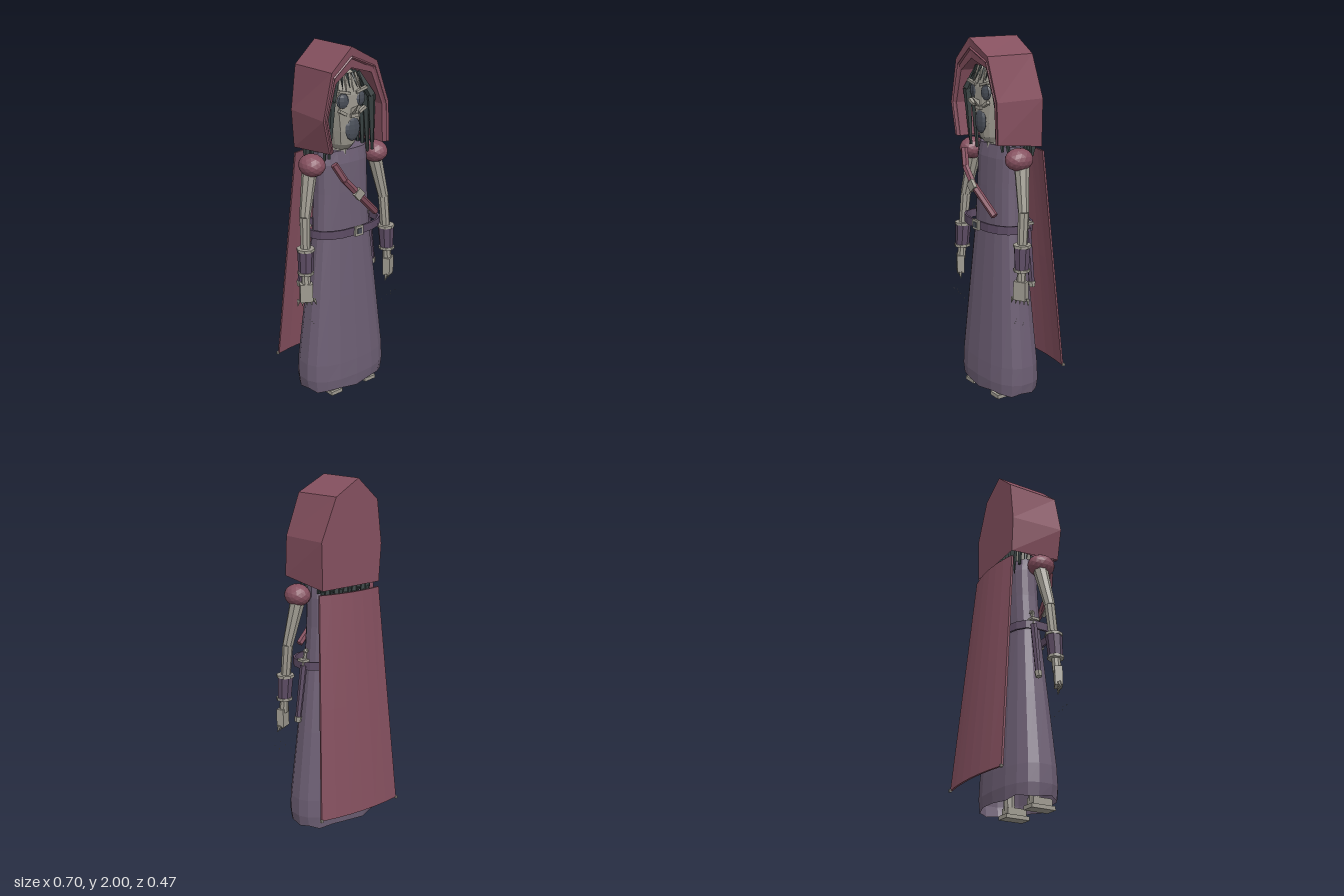
import * as THREE from 'three';

const mat = (name, color) => {
  const m = new THREE.MeshStandardMaterial({ color, flatShading: true, side: THREE.DoubleSide });
  m.name = name;
  return m;
};
const V = (x, y, z) => new THREE.Vector3(x, y, z);

export function createModel() {
  const cloth = mat('maroon cloth', 0x85505f);
  const robe = mat('purple robe', 0x6c5e73);
  const leather = mat('purple leather', 0x5d4c64);
  const bone = mat('bone grey', 0x9f9b91);
  const hair = mat('dark hair', 0x3b4444);
  const hollow = mat('dark hollow', 0x4a4f59);

  const model = new THREE.Group();
  model.name = 'hoodedFigure';

  const add = (name, geo, material, pos = [0, 0, 0], scale = [1, 1, 1], rot = [0, 0, 0], parent = model) => {
    const m = new THREE.Mesh(geo, material);
    m.name = name;
    m.position.set(...pos);
    m.scale.set(...scale);
    m.rotation.set(...rot);
    parent.add(m);
    return m;
  };

  // Tapered rod from a to b
  const rod = (name, a, b, ra, rb, material, sides = 8, parent = model, flat = 1) => {
    const dir = b.clone().sub(a);
    const m = add(name, new THREE.CylinderGeometry(rb, ra, dir.length(), sides), material, [0, 0, 0], [1, 1, flat], [0, 0, 0], parent);
    m.position.copy(a).add(b).multiplyScalar(0.5);
    m.quaternion.setFromUnitVectors(V(0, 1, 0), dir.normalize());
    return m;
  };

  // Skin over a list of rings, with optional fans closing chosen rings
  const loft = (rings, closed, caps = []) => {
    const p = [];
    const tri = (...vs) => vs.forEach(v => p.push(v.x, v.y, v.z));
    for (let r = 0; r < rings.length - 1; r++) {
      const a = rings[r], b = rings[r + 1], n = a.length;
      for (let i = 0; i < (closed ? n : n - 1); i++) {
        const j = (i + 1) % n;
        tri(a[i], b[i], b[j]);
        tri(a[i], b[j], a[j]);
      }
    }
    caps.forEach(k => {
      const c = rings[k];
      for (let i = 1; i < c.length - 1; i++) tri(c[0], c[i], c[i + 1]);
    });
    const g = new THREE.BufferGeometry();
    g.setAttribute('position', new THREE.Float32BufferAttribute(p, 3));
    g.computeVertexNormals();
    return g;
  };

  // Rounded-rectangle ring around the body
  const ring = (y, rx, rz, cz, n = 18, wave = 0) => Array.from({ length: n }, (_, i) => {
    const t = -(i + 0.5) / n * Math.PI * 2, c = Math.cos(t), s = Math.sin(t);
    const q = v => Math.sign(v) * Math.pow(Math.abs(v), 0.8);
    return V(rx * q(c), y + wave * Math.sin(i * 2.3), cz + rz * q(s));
  });

  // Robe
  add('robeSkirt', loft([
    ring(0.035, 0.265, 0.15, 0.045, 18, 0.01), ring(0.1, 0.275, 0.155, 0.045), ring(0.2, 0.272, 0.15, 0.045),
    ring(0.6, 0.225, 0.12, 0.045), ring(0.98, 0.18, 0.09, 0.045)], true), robe);
  add('robeBodice', loft([
    ring(0.98, 0.18, 0.09, 0.045), ring(1.2, 0.168, 0.088, 0.04),
    ring(1.36, 0.168, 0.085, 0.035), ring(1.43, 0.165, 0.07, 0.035)], true, [3]), robe);

  // Belt standing off the waist, with its buckle
  const b = [[0.968, 0], [1.014, 0], [1.014, 0.012], [0.968, 0.012], [0.968, 0]];
  add('belt', loft(b.map(([y, d]) => ring(y, 0.235 - d, 0.143 - d, 0.055)), true), leather);
  add('beltBuckle', new THREE.BoxGeometry(0.055, 0.055, 0.014), bone, [0, 0.992, 0.202]);
  add('beltBuckleCentre', new THREE.BoxGeometry(0.03, 0.03, 0.006), hollow, [0, 0.992, 0.21]);

  // Chest strap and clasp
  const strap = [V(-0.15, 1.39, 0.175), V(-0.1, 1.3, 0.2), V(-0.015, 1.21, 0.205), V(0.14, 1.065, 0.175)];
  for (let i = 0; i < 3; i++) rod('chestStrap', strap[i], strap[i + 1], 0.02, 0.02, cloth, 6);
  add('strapClasp', new THREE.BoxGeometry(0.052, 0.052, 0.02), bone, [-0.015, 1.21, 0.217], [1, 1, 1], [0, 0, 0.75]);

  // Hood: outer shell, rim, inner shell and closed back
  const arch = (pts, z) => pts.map(([x, y]) => V(x, y, z));
  const outer = [[-0.2, 1.46], [-0.24, 1.64], [-0.185, 1.88], [-0.055, 2], [0.115, 1.91], [0.2, 1.68], [0.21, 1.46]];
  const inner = [[-0.165, 1.46], [-0.2, 1.64], [-0.15, 1.82], [-0.05, 1.89], [0.085, 1.85], [0.162, 1.67], [0.17, 1.46]];
  const back = [[-0.2, 1.43], [-0.215, 1.64], [-0.185, 1.88], [-0.055, 2], [0.09, 1.91], [0.185, 1.68], [0.18, 1.42]];
  add('hood', loft([arch(back, -0.11), arch(outer, 0.2), arch(inner, 0.19), arch(inner, -0.095)], false, [0, 3]), cloth);

  // Raised hood edging
  for (let i = 0; i < 6; i++) {
    const mid = k => V((outer[k][0] + inner[k][0]) / 2, (outer[k][1] + inner[k][1]) / 2, 0.19);
    rod('hoodEdging', mid(i), mid(i + 1), 0.012, 0.012, cloth, 4);
  }

  // Cape: curved sheet with some thickness
  const sheet = off => [0, 0.5, 1].map(t => Array.from({ length: 7 }, (_, i) => {
    const u = i / 3 - 1;
    return V(u * (0.2 + 0.067 * t), 1.4 - 1.25 * t, -0.137 - 0.103 * t + 0.027 * u * u + off);
  }));
  const outside = sheet(0), inside = sheet(0.012);
  add('capeOutside', loft(outside, false), cloth);
  add('capeInside', loft(inside, false), cloth);
  add('capeTopEdge', loft([outside[0], inside[0]], false), cloth);
  add('capeHem', loft([outside[2], inside[2]], false), cloth);
  [0, 6].forEach(k => {
    add('capeSideEdge', loft([outside.map(r => r[k]), inside.map(r => r[k])], false), cloth);
    const c = outside[2][k];
    add('capeStud', new THREE.BoxGeometry(0.014, 0.014, 0.014), bone, [c.x, c.y, c.z]);
  });

  // Head: long gaunt face narrowing to the jaw
  const head = new THREE.Group();
  head.name = 'head';
  head.position.set(-0.02, 0, 0.07);
  model.add(head);
  const skull = [[1.44, 0.045, 0.05], [1.47, 0.062, 0.075], [1.55, 0.078, 0.092], [1.65, 0.098, 0.1],
    [1.74, 0.106, 0.1], [1.82, 0.088, 0.085], [1.86, 0.045, 0.045]];
  add('face', loft(skull.map(([y, rx, rz]) => ring(y, rx, rz, 0, 12)), true, [0, 6]), bone, [0, 0, 0], [1, 1, 1], [0, 0, 0], head);
  rod('neck', V(0, 1.4, -0.01), V(0, 1.5, -0.01), 0.05, 0.045, bone, 8, head);
  add('nose', new THREE.ConeGeometry(0.022, 0.08, 4), bone, [0, 1.672, 0.115], [1, 1, 1], [0.85, Math.PI / 4, 0], head);
  for (const s of [-1, 1]) {
    add('eyeSocket', new THREE.SphereGeometry(0.037, 8, 6), hollow, [s * 0.06, 1.715, 0.088], [1, 1.1, 0.4], [0, s * 0.25, 0], head);
    add('brow', new THREE.BoxGeometry(0.075, 0.014, 0.02), bone, [s * 0.058, 1.762, 0.096], [1, 1, 1], [0, 0, s * 0.25], head);
    add('cheekbone', new THREE.BoxGeometry(0.05, 0.016, 0.02), bone, [s * 0.066, 1.655, 0.094], [1, 1, 1], [0, 0, s * 0.5], head);
  }
  add('mouth', new THREE.SphereGeometry(0.05, 8, 8), hollow, [0.008, 1.558, 0.088], [1, 1.3, 0.35], [0, 0, 0], head);
  add('upperLip', new THREE.BoxGeometry(0.05, 0.018, 0.016), bone, [0.008, 1.632, 0.1], [1, 1, 1], [0, 0, 0], head);

  // Hair: cap, forehead strands, side locks and back locks
  add('hairCap', new THREE.SphereGeometry(0.12, 10, 6, 0, Math.PI * 2, 0, Math.PI * 0.55), hair, [-0.02, 1.745, 0.035], [1.1, 1, 0.95]);
  for (let i = 0; i < 7; i++) {
    const x = -0.09 + i * 0.024;
    rod('foreheadStrand', V(x * 0.75 - 0.005, 1.85, 0.135), V(x, 1.78 - 0.02 * (i % 2), 0.172), 0.009, 0.001, i % 2 ? bone : hair, 4);
  }
  for (const s of [-1, 1]) for (let i = 0; i < 6; i++) {
    const z = 0.15 - i * 0.04;
    const pts = [V(-0.02 + s * 0.07, 1.845, z * 0.8), V(-0.015 + s * (0.135 - 0.004 * (i % 2)), 1.72, z), V(s * 0.15, 1.41 - 0.02 * (i % 3), z - 0.02)];
    rod('sideLock', pts[0], pts[1], 0.016, 0.024, hair, 5);
    rod('sideLock', pts[1], pts[2], 0.024, 0.008, hair, 5);
  }
  for (let i = 0; i < 11; i++) {
    const x = -0.15 + i * 0.03;
    rod('backLock', V(x, 1.6, -0.06), V(x, 1.41 - 0.02 * (i % 2), -0.07), 0.024, 0.018, hair, 5);
    rod('backLockTip', V(x, 1.41 - 0.02 * (i % 2), -0.07), V(x, 1.32 + 0.03 * (i % 3), -0.062), 0.018, 0.002, hair, 5);
  }

  for (const s of [-1, 1]) {
    // Arm
    const arm = new THREE.Group();
    arm.name = s > 0 ? 'leftArm' : 'rightArm';
    model.add(arm);
    const P = (x, y, z) => V(s * x, y, z);
    add('shoulderPad', new THREE.IcosahedronGeometry(1, 2), cloth, [s * 0.218, 1.375, 0.072], [0.069, 0.062, 0.08], [0, 0, 0], arm);
    rod('upperArm', P(0.225, 1.35, 0.06), P(0.278, 1.1, 0.085), 0.042, 0.03, bone, 8, arm);
    rod('forearm', P(0.278, 1.1, 0.085), P(0.287, 0.9, 0.1), 0.03, 0.027, bone, 8, arm);
    rod('bracer', P(0.287, 0.925, 0.1), P(0.292, 0.79, 0.106), 0.046, 0.04, leather, 8, arm);
    rod('bracerTopBand', P(0.287, 0.93, 0.1), P(0.287, 0.915, 0.1), 0.05, 0.05, bone, 8, arm);
    rod('bracerLowerBand', P(0.292, 0.797, 0.106), P(0.292, 0.782, 0.106), 0.046, 0.046, bone, 8, arm);
    rod('wrist', P(0.292, 0.79, 0.106), P(0.295, 0.71, 0.112), 0.024, 0.026, bone, 8, arm);
    add('hand', new THREE.BoxGeometry(0.07, 0.105, 0.042), bone, [s * 0.298, 0.677, 0.116], [1, 1, 1], [0, s * 0.5, 0], arm);
    for (let i = 0; i < 5; i++) {
      const x = 0.262 + i * 0.018, z = 0.14 - i * 0.011;
      rod('finger', P(x, 0.635, z), P(x + (i - 2) * 0.006, 0.6, z + 0.005), 0.011, 0.002, bone, 5, arm);
      add('looseShard', new THREE.ConeGeometry(0.003, 0.008, 3), bone, [s * (0.25 + i * 0.024), 0.475 + (i * 2 % 5) * 0.011, 0.12 + (i % 3) * 0.012], [1, 1, 1], [0, 0, i], arm);
    }

    // Sheathed blade hanging from the belt
    rod('sheath', P(0.222, 0.99, 0.015), P(0.262, 0.69, 0.015), 0.02, 0.017, leather, 6);
    rod('sheathTip', P(0.261, 0.7, 0.015), P(0.265, 0.67, 0.015), 0.022, 0.018, bone, 6);
    rod('hilt', P(0.222, 0.99, 0.015), P(0.208, 1.065, 0.015), 0.012, 0.01, bone, 6);
    add('hiltPommel', new THREE.IcosahedronGeometry(0.017, 0), bone, [s * 0.206, 1.07, 0.015]);
    add('hiltGuard', new THREE.BoxGeometry(0.045, 0.014, 0.05), bone, [s * 0.222, 1.02, 0.015]);

    // Foot
    add('foot', new THREE.BoxGeometry(0.078, 0.022, 0.145), bone, [s * 0.125, 0.011, 0.1]);
    add('footTop', new THREE.BoxGeometry(0.062, 0.04, 0.115), bone, [s * 0.125, 0.04, 0.1]);
    rod('ankle', P(0.125, 0.04, 0.07), P(0.12, 0.25, 0.06), 0.03, 0.034, bone, 8);
  }

  return model;
}
